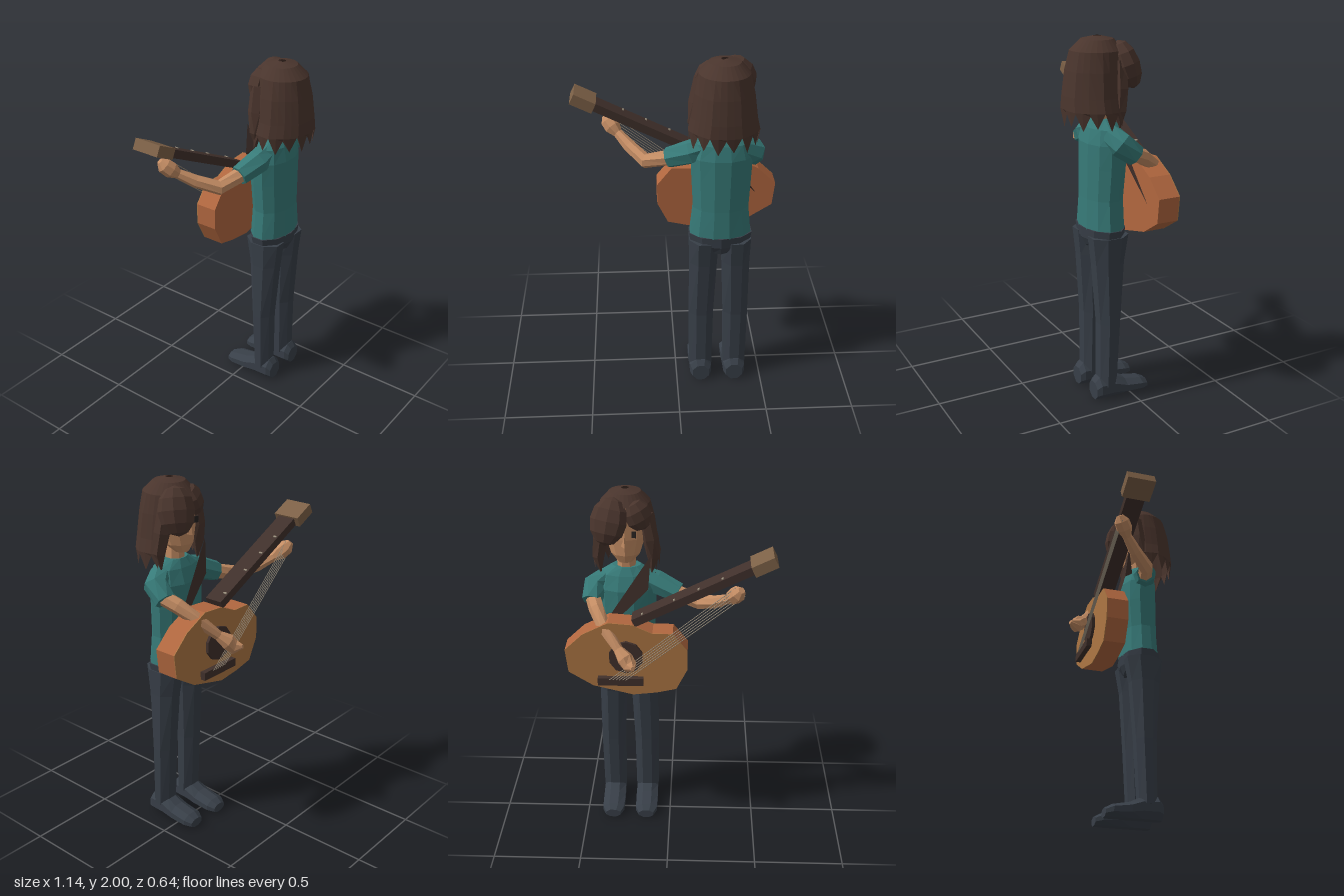
import * as THREE from 'three';

const mat = (name, color, side = THREE.FrontSide) =>
  Object.assign(new THREE.MeshStandardMaterial({ color, flatShading: true, side }), { name });
const V = (x, y, z) => new THREE.Vector3(x, y, z);

// Skin over a list of closed rings (arrays of points), capped at both ends
function loft(rings) {
  const pos = [];
  const tri = (...p) => p.forEach((v) => pos.push(v.x, v.y, v.z));
  const n = rings[0].length;
  const mid = (r) => r.reduce((s, p) => s.add(p), V(0, 0, 0)).divideScalar(n);
  const first = rings[0], last = rings[rings.length - 1];
  const c0 = mid(first), c1 = mid(last);
  for (let j = 0; j < n; j++) {
    const k = (j + 1) % n;
    for (let i = 0; i + 1 < rings.length; i++) {
      const a = rings[i][j], b = rings[i][k], c = rings[i + 1][j], d = rings[i + 1][k];
      tri(a, c, b);
      tri(b, c, d);
    }
    tri(c0, first[j], first[k]);
    tri(c1, last[k], last[j]);
  }
  const g = new THREE.BufferGeometry();
  g.setAttribute('position', new THREE.Float32BufferAttribute(pos, 3));
  g.computeVertexNormals();
  return g;
}

// Sections are [x, y, z, radiusU, radiusV]; dir is the direction of travel
function ring([x, y, z, ru, rv = ru], u, dir, sides) {
  const v = u.clone().cross(dir);
  return Array.from({ length: sides }, (_, j) => {
    const t = ((j + 0.5) / sides) * Math.PI * 2;
    return V(x, y, z).addScaledVector(u, Math.cos(t) * ru).addScaledVector(v, Math.sin(t) * rv);
  });
}
const column = (secs, sides = 8) => loft(secs.map((s) => ring(s, V(1, 0, 0), V(0, 1, 0), sides)));

// Limb along a bent path
function limb(secs, sides = 7) {
  const p = secs.map((s) => V(s[0], s[1], s[2]));
  return loft(secs.map((s, i) => {
    const dir = p[Math.min(i + 1, p.length - 1)].clone().sub(p[Math.max(i - 1, 0)]).normalize();
    const u = V(0.3, 1, 0.2).cross(dir).normalize();
    return ring(s, u, dir, sides);
  }));
}

// Hair shell: closed crown, open at the face, ragged tips
function hairShell() {
  const N = 28, pos = [];
  const rows = [[2.0, 0.02, 0.02, 0.14], [1.985, 0.085, 0.085, 0.14], [1.93, 0.135, 0.14, 0.145],
    [1.83, 0.155, 0.155, 0.15], [1.7, 0.172, 0.165, 0.155], [1.63, 0.188, 0.172, 0.152], [1.57, 0.183, 0.165, 0.15]];
  const pt = (i, j) => {
    const [y, rx, rz, cz] = rows[i], t = (j / N) * Math.PI * 2;
    const jag = i === rows.length - 1 ? [0.06, -0.02, 0.045, -0.035][j % 4] : 0;
    const lump = 1 + (j % 4 === 0 ? 0.03 : -0.01) * (i > 2 ? 1 : 0);
    return [0.245 + Math.sin(t) * rx * lump, y + jag, cz - Math.cos(t) * rz * lump];
  };
  for (let i = 0; i + 1 < rows.length; i++) {
    for (let j = 0; j < N; j++) {
      const gap = i < 2 ? 0 : i === 2 ? 3 : 5;
      if (j < gap || j >= N - gap) continue;
      const a = pt(i, j), b = pt(i, j + 1), c = pt(i + 1, j), d = pt(i + 1, j + 1);
      pos.push(...a, ...b, ...c, ...b, ...d, ...c);
    }
  }
  const g = new THREE.BufferGeometry();
  g.setAttribute('position', new THREE.Float32BufferAttribute(pos, 3));
  g.computeVertexNormals();
  return g;
}

export function createModel() {
  const M = {
    skin: mat('skin', 0xc48d64),
    hair: mat('brown hair', 0x4a352d, THREE.DoubleSide),
    shirt: mat('teal shirt', 0x377a78),
    pants: mat('dark trousers', 0x383f48),
    wood: mat('red wood', 0xb1673f),
    top: mat('pale wood', 0xad7643),
    dark: mat('dark wood', 0x40302b, THREE.DoubleSide),
    head: mat('headstock wood', 0x7d6147),
    string: mat('string metal', 0x958a78),
    eye: mat('eye black', 0x25211f),
  };
  const root = new THREE.Group();
  const add = (name, geo, material, x = 0, y = 0, z = 0) => {
    const m = new THREE.Mesh(geo, material);
    m.name = name;
    m.position.set(x, y, z);
    root.add(m);
    return m;
  };
  const box = (name, size, at, material) => add(name, new THREE.BoxGeometry(...size), material, ...at);

  // Legs and shoes
  for (const [side, s] of [['left', 1], ['right', -1]]) {
    const x = (d) => 0.243 + s * d;
    add(side + 'Leg', column([[x(0.1), 0.08, 0.135, 0.072, 0.056], [x(0.1), 0.45, 0.125, 0.076, 0.066],
      [x(0.092), 0.8, 0.125, 0.083, 0.092], [x(0.09), 0.95, 0.12, 0.09, 0.115]]), M.pants);
    const shoe = [[0.215, 0.1, 0.05], [0.19, 0.13, 0.064], [0.1, 0.125, 0.066], [0.03, 0.09, 0.068],
      [-0.07, 0.07, 0.066], [-0.11, 0.05, 0.045]];
    add(side + 'Shoe', loft(shoe.map(([z, h, w]) =>
      ring([x(0.1), h / 2, z, w * 1.05, h * 0.541], V(1, 0, 0), V(0, 0, -1), 8))), M.pants);
  }
  add('hips', column([[0.243, 0.88, 0.12, 0.07, 0.09], [0.243, 0.93, 0.12, 0.172, 0.112],
    [0.243, 0.99, 0.12, 0.184, 0.117]], 10), M.pants);

  // Shirt, neck and head
  add('shirtBody', column([[0.243, 0.985, 0.12, 0.175, 0.112], [0.243, 1.15, 0.118, 0.157, 0.106],
    [0.243, 1.32, 0.11, 0.166, 0.112], [0.243, 1.45, 0.11, 0.172, 0.11], [0.243, 1.53, 0.115, 0.15, 0.085],
    [0.243, 1.575, 0.115, 0.08, 0.06]], 12), M.shirt);
  add('neck', column([[0.243, 1.53, 0.115, 0.055], [0.243, 1.7, 0.11, 0.052]]), M.skin);
  add('face', column([[0.243, 1.615, 0.06, 0.04, 0.035], [0.243, 1.66, 0.085, 0.082, 0.078],
    [0.243, 1.75, 0.11, 0.112, 0.108], [0.243, 1.86, 0.12, 0.118, 0.112],
    [0.243, 1.94, 0.13, 0.085, 0.085]], 10), M.skin);
  const nose = add('nose', new THREE.ConeGeometry(0.02, 0.055, 4), M.skin, 0.243, 1.745, -0.002);
  nose.rotation.x = -0.25;
  for (const s of [-1, 1]) box('eye', [0.024, 0.034, 0.008], [0.243 + s * 0.05, 1.785, 0.004], M.eye).rotation.y = s * 0.25;

  // Hair with a swept fringe and front locks
  add('hair', hairShell(), M.hair);
  const fringe = add('fringe', new THREE.SphereGeometry(1, 9, 6), M.hair, 0.325, 1.855, 0.015);
  fringe.scale.set(0.105, 0.13, 0.075);
  fringe.rotation.set(0.35, -0.3, 0.2);
  const sweep = add('fringeSweep', new THREE.SphereGeometry(1, 8, 5), M.hair, 0.17, 1.88, 0.045);
  sweep.scale.set(0.08, 0.085, 0.055);
  sweep.rotation.set(0.3, 0.5, -0.5);
  for (const s of [-1, 1]) {
    add('sideLock', limb([[0.243 + s * 0.11, 1.88, 0.07, 0.04], [0.243 + s * 0.135, 1.74, 0.075, 0.045],
      [0.243 + s * 0.15, 1.63, 0.085, 0.035], [0.243 + s * 0.14, 1.54, 0.08, 0.004]], 6), M.hair);
  }

  // Arm on the neck of the guitar
  add('rightSleeve', limb([[0.16, 1.5, 0.115, 0.06], [0.08, 1.468, 0.11, 0.068], [-0.045, 1.42, 0.075, 0.057]]), M.shirt);
  add('rightArm', limb([[-0.02, 1.425, 0.08, 0.044], [-0.165, 1.385, 0.035, 0.042], [-0.25, 1.43, -0.06, 0.036],
    [-0.32, 1.485, -0.135, 0.026]]), M.skin);
  add('rightHand', limb([[-0.31, 1.475, -0.125, 0.026], [-0.34, 1.505, -0.15, 0.046], [-0.365, 1.535, -0.175, 0.044],
    [-0.38, 1.56, -0.19, 0.02]]), M.skin);

  // Strumming arm
  add('leftSleeve', limb([[0.35, 1.5, 0.115, 0.06], [0.415, 1.46, 0.09, 0.07], [0.43, 1.395, 0.01, 0.058]]), M.shirt);
  add('leftArm', limb([[0.425, 1.41, 0.03, 0.044], [0.4, 1.375, -0.05, 0.043], [0.355, 1.31, -0.14, 0.037],
    [0.27, 1.21, -0.22, 0.027]]), M.skin);
  add('leftHand', limb([[0.275, 1.215, -0.215, 0.027], [0.235, 1.175, -0.25, 0.045], [0.205, 1.14, -0.275, 0.04],
    [0.188, 1.15, -0.315, 0.012]]), M.skin);

  // Guitar body and soundboard
  const outline = [[-0.1, 1.19], [-0.1, 1.07], [-0.04, 0.95], [0.07, 0.925], [0.2, 0.91], [0.42, 0.965],
    [0.555, 1.05], [0.57, 1.185], [0.47, 1.28], [0.33, 1.35], [0.2, 1.34], [0.09, 1.29], [-0.02, 1.29]];
  const shape = new THREE.Shape(outline.map((p) => new THREE.Vector2(...p)));
  const slab = (depth) => new THREE.ExtrudeGeometry(shape, { depth, bevelEnabled: false });
  add('guitarBody', slab(0.122), M.wood, 0, 0, -0.172);
  add('soundboard', slab(0.005), M.top, 0, 0, -0.177);
  add('soundHole', new THREE.CylinderGeometry(0.095, 0.095, 0.018, 10).rotateX(Math.PI / 2), M.dark, 0.235, 1.15, -0.185);
  box('bridge', [0.25, 0.045, 0.03], [0.265, 1.015, -0.21], M.dark);

  // Guitar neck, fret marks and headstock share one slope
  const slope = -0.46, nx = -0.125, ny = 1.505;
  const onNeck = (name, size, along, up, z, m) => {
    const c = Math.cos(slope), s = Math.sin(slope);
    box(name, size, [nx + along * c - up * s, ny + along * s + up * c, z], m).rotation.z = slope;
  };
  onNeck('guitarNeck', [0.71, 0.045, 0.105], 0, 0, -0.12, M.dark);
  onNeck('headstock', [0.13, 0.06, 0.16], -0.415, 0.002, -0.12, M.head);
  for (const x of [-0.28, -0.155, -0.025, 0.145])
    onNeck('fretMark', [0.01, 0.006, 0.02], (x - nx) / Math.cos(slope) - 0.012, 0.024, -0.155, M.string);

  // Strings
  for (let i = 0; i < 6; i++) {
    const o = (i - 2.5) / 5;
    const path = new THREE.LineCurve3(V(0.28 + o * 0.09, 1.03, -0.228), V(-0.375 + o * 0.05, 1.545 + o * 0.05, -0.18));
    add('string', new THREE.TubeGeometry(path, 1, 0.0022, 4), M.string);
  }

  // Shoulder strap
  const strap = new THREE.BufferGeometry().setFromPoints([V(0.105, 1.66, 0.02), V(0.12, 1.47, 0.0), V(0.46, 1.13, -0.045),
    V(0.105, 1.66, 0.02), V(0.14, 1.51, 0.05), V(0.12, 1.47, 0.0)]);
  strap.computeVertexNormals();
  add('strap', strap, M.dark);
  return root;
}
